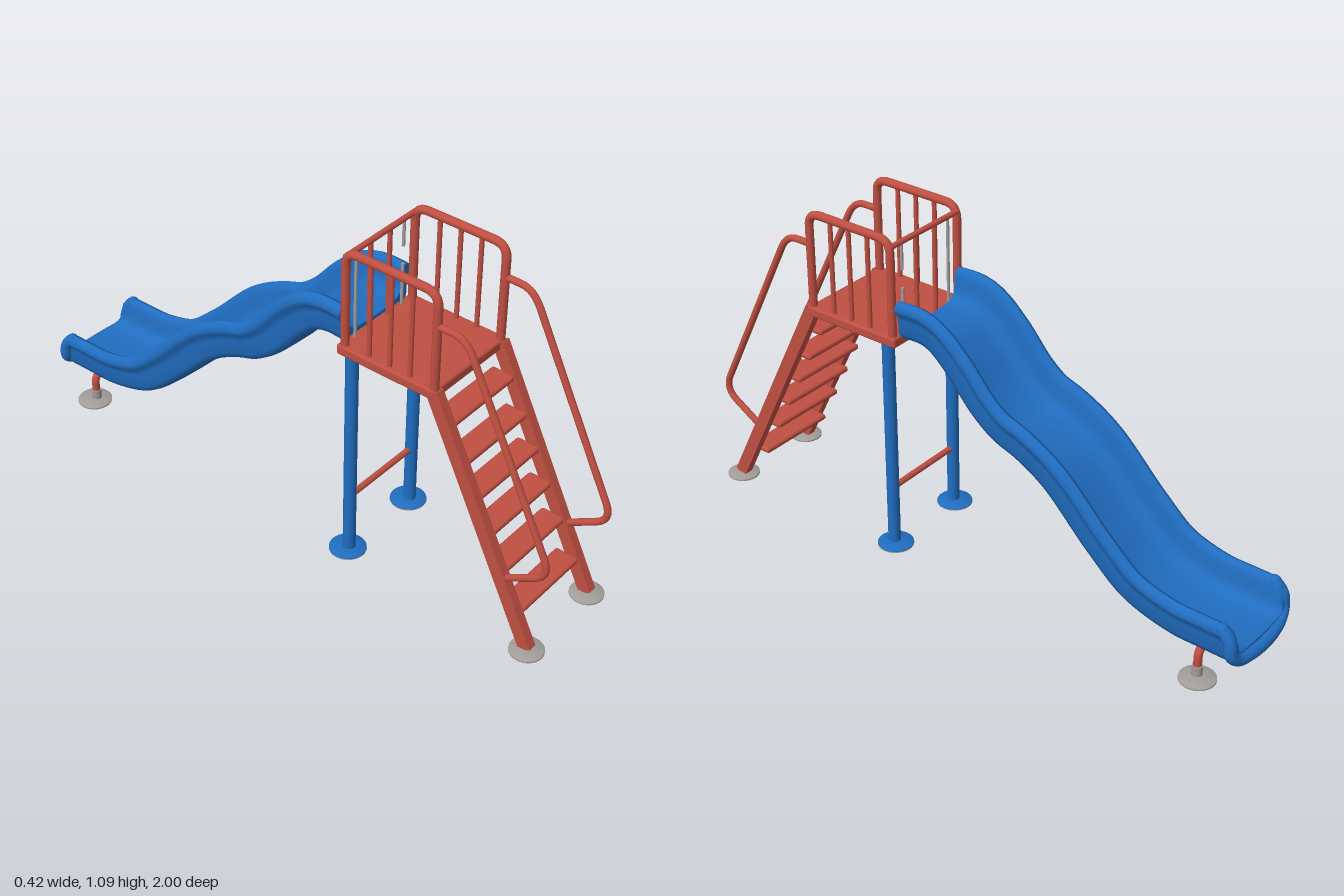
import * as THREE from 'three';
import { toCreasedNormals } from 'three/addons/utils/BufferGeometryUtils.js';
import { RoundedBoxGeometry } from 'three/addons/geometries/RoundedBoxGeometry.js';

const V = (x, y, z) => new THREE.Vector3(x, y, z);

export function createModel() {
  const model = new THREE.Group();
  const material = (name, color) => {
    const m = new THREE.MeshStandardMaterial({ color });
    m.name = name;
    return m;
  };
  const red = material('red paint', 0xbf4f41);
  const blue = material('blue plastic', 0x206dc0);
  const grey = material('grey metal', 0xa19d9a);

  const add = (name, geometry, mat, x = 0, y = 0, z = 0) => {
    const mesh = new THREE.Mesh(geometry, mat);
    mesh.name = name;
    mesh.position.set(x, y, z);
    model.add(mesh);
    return mesh;
  };

  // Straight round bar between two points
  const bar = (name, a, b, r, mat) => {
    const mesh = add(name, new THREE.CylinderGeometry(r, r, a.distanceTo(b), 16), mat);
    mesh.position.copy(a).add(b).multiplyScalar(0.5);
    mesh.quaternion.setFromUnitVectors(V(0, 1, 0), b.clone().sub(a).normalize());
    return mesh;
  };

  // Bent pipe: straight runs joined by rounded corners
  const pipe = (name, pts, bend, r, mat) => {
    const path = new THREE.CurvePath();
    let from = pts[0];
    for (let i = 1; i < pts.length - 1; i++) {
      const p = pts[i];
      const step = (q) => p.clone().add(q.clone().sub(p).setLength(Math.min(bend, q.distanceTo(p) * 0.45)));
      const a = step(pts[i - 1]), b = step(pts[i + 1]);
      path.add(new THREE.LineCurve3(from, a));
      path.add(new THREE.QuadraticBezierCurve3(a, p, b));
      from = b;
    }
    path.add(new THREE.LineCurve3(from, pts[pts.length - 1]));
    return add(name, new THREE.TubeGeometry(path, 90, r, 12), mat);
  };

  // Low domed ground plate
  const foot = (name, x, z, r, mat) => {
    const profile = [[0, 0], [r, 0], [r, 0.005], [r * 0.8, 0.01], [0, 0.014]];
    const g = new THREE.LatheGeometry(profile.map((p) => new THREE.Vector2(...p)), 32);
    add(name, toCreasedNormals(g, 0.6), mat, x, 0, z);
  };

  // Platform
  add('platform', new RoundedBoxGeometry(0.344, 0.034, 0.348, 2, 0.008), red, 0, 0.747, 0.411);

  // Ladder treads
  const treads = [0.12, 0.243, 0.35, 0.453, 0.553, 0.66];
  for (const y of treads) {
    add('ladderTread', new RoundedBoxGeometry(0.286, 0.02, 0.08, 3, 0.009), red, 0, y, 0.933 - 0.5 * y);
  }

  for (const s of [-1, 1]) {
    const x = 0.155 * s;

    // Ladder side rail and its foot
    const lower = V(x, 0.012, 0.945), upper = V(x, 0.755, 0.575);
    const rail = add('ladderSide', new THREE.BoxGeometry(0.03, lower.distanceTo(upper), 0.042), red);
    rail.position.copy(lower).add(upper).multiplyScalar(0.5);
    rail.rotation.x = Math.atan2(upper.z - lower.z, upper.y - lower.y);
    foot('ladderFoot', x, 0.945, 0.053, grey);

    // Ladder handrail
    pipe('handrail', [
      V(x, 0.973, 0.575), V(x, 0.973, 0.672), V(x, 0.315, 1.005 - 0.005), V(x, 0.225, 0.85),
    ], 0.06, 0.011, red);

    // Guard panel on the platform
    pipe('guardFrame', [
      V(x, 0.74, 0.575), V(x, 1.077, 0.575), V(x, 1.077, 0.257), V(x, 0.74, 0.257),
    ], 0.045, 0.0135, red);
    for (const z of [0.49, 0.418, 0.345]) {
      bar('guardBar', V(x, 0.755, z), V(x, 1.075, z), 0.0075, red);
    }

    // Support post
    bar('supportPost', V(0.15 * s, 0, 0.28), V(0.15 * s, 0.735, 0.28), 0.02, blue);
    foot('postFoot', 0.15 * s, 0.275, 0.058, blue);
    add('postFootBase', new THREE.CylinderGeometry(0.0585, 0.0585, 0.003, 32), grey, 0.15 * s, 0.0015, 0.275);

    // Foot under the slide exit
    bar('exitLegSleeve', V(0.128 * s, 0, -0.845), V(0.128 * s, 0.045, -0.845), 0.0165, grey);
    foot('exitFoot', 0.132 * s, -0.85, 0.057, grey);
  }

  // Bars across the back of the platform
  bar('backRail', V(-0.155, 1.057, 0.255), V(0.155, 1.057, 0.255), 0.009, red);
  for (const x of [-0.045, 0.042]) bar('backBar', V(x, 0.755, 0.255), V(x, 1.057, 0.255), 0.0075, red);
  bar('backGreyBar', V(-0.108, 0.755, 0.255), V(-0.108, 1.055, 0.255), 0.005, grey);
  bar('backGreyBarTop', V(0.106, 0.965, 0.255), V(0.106, 1.055, 0.255), 0.005, grey);
  bar('backGreyBarBottom', V(0.106, 0.755, 0.255), V(0.106, 0.905, 0.255), 0.005, grey);

  // Cross brace and slide exit leg
  bar('postBrace', V(-0.15, 0.21, 0.28), V(0.15, 0.21, 0.28), 0.01, red);
  pipe('exitLeg', [
    V(-0.128, 0.03, -0.845), V(-0.128, 0.108, -0.845), V(0.128, 0.108, -0.845), V(0.128, 0.03, -0.845),
  ], 0.05, 0.013, red);

  // Slide chute: one closed section swept down a wavy path
  const half = [
    [0.06, 0.027], [0.1, 0.034], [0.114, 0.046], [0.12, 0.07], [0.121, 0.105], [0.126, 0.123],
    [0.142, 0.132], [0.157, 0.124], [0.163, 0.108], [0.159, 0.094], [0.149, 0.086], [0.146, 0.07],
    [0.144, 0.025], [0.134, 0.006], [0.115, 0], [0.06, -0.003],
  ];
  const section = [[0, 0.025], ...half, [0, -0.005], ...half.slice().reverse().map(([x, d]) => [-x, d])];
  const course = new THREE.CatmullRomCurve3([
    [0.243, 0.749], [0.152, 0.747], [0.078, 0.69], [-0.019, 0.583], [-0.099, 0.523], [-0.19, 0.487],
    [-0.286, 0.43], [-0.447, 0.273], [-0.58, 0.165], [-0.74, 0.115], [-0.86, 0.109], [-0.97, 0.107],
  ].map(([z, y]) => V(0, y, z)), false, 'centripetal');

  const rows = 110, n = section.length, pos = [], index = [];
  for (let i = 0; i <= rows; i++) {
    const u = i / rows;
    const p = course.getPointAt(u), t = course.getTangentAt(u);
    // Side walls round off at the exit
    const e = Math.min(1, Math.max(0, (-0.92 - p.z) / 0.05));
    const h = 0.3 + 0.7 * Math.sqrt(1 - e * e);
    for (const [x, d] of section) {
      const k = d > 0.03 ? 0.03 + (d - 0.03) * h : d;
      pos.push(x, p.y - t.z * k, p.z + t.y * k);
    }
  }
  for (let i = 0; i < rows; i++) {
    for (let j = 0; j < n; j++) {
      const a = i * n + j, b = i * n + (j + 1) % n;
      index.push(a, b, a + n, b, b + n, a + n);
    }
  }
  // End caps
  const outline = section.map((p) => new THREE.Vector2(...p));
  for (const [a, b, c] of THREE.ShapeUtils.triangulateShape(outline, [])) {
    const ccw = THREE.ShapeUtils.area([outline[a], outline[b], outline[c]]) > 0;
    const [q, r] = ccw ? [b, c] : [c, b];
    const o = rows * n;
    index.push(a, q, r, o + a, o + r, o + q);
  }
  const chute = new THREE.BufferGeometry();
  chute.setAttribute('position', new THREE.Float32BufferAttribute(pos, 3));
  chute.setIndex(index);
  add('slideChute', toCreasedNormals(chute, 0.9), blue);

  // Rolled lip around the exit
  const side = [[0.143, 0.222, -0.925], [0.145, 0.19, -0.952], [0.144, 0.145, -0.96], [0.115, 0.118, -0.968], [0.06, 0.11, -0.977]];
  const lip = new THREE.CatmullRomCurve3([
    ...side.map(([x, y, z]) => V(-x, y, z)), V(0, 0.108, -0.98),
    ...side.slice().reverse().map((p) => V(...p)),
  ]);
  add('exitLip', new THREE.TubeGeometry(lip, 80, 0.02, 14), blue);
  for (const s of [-1, 1]) add('exitLipEnd', new THREE.SphereGeometry(0.02, 14, 10), blue, 0.143 * s, 0.222, -0.925);

  return model;
}
